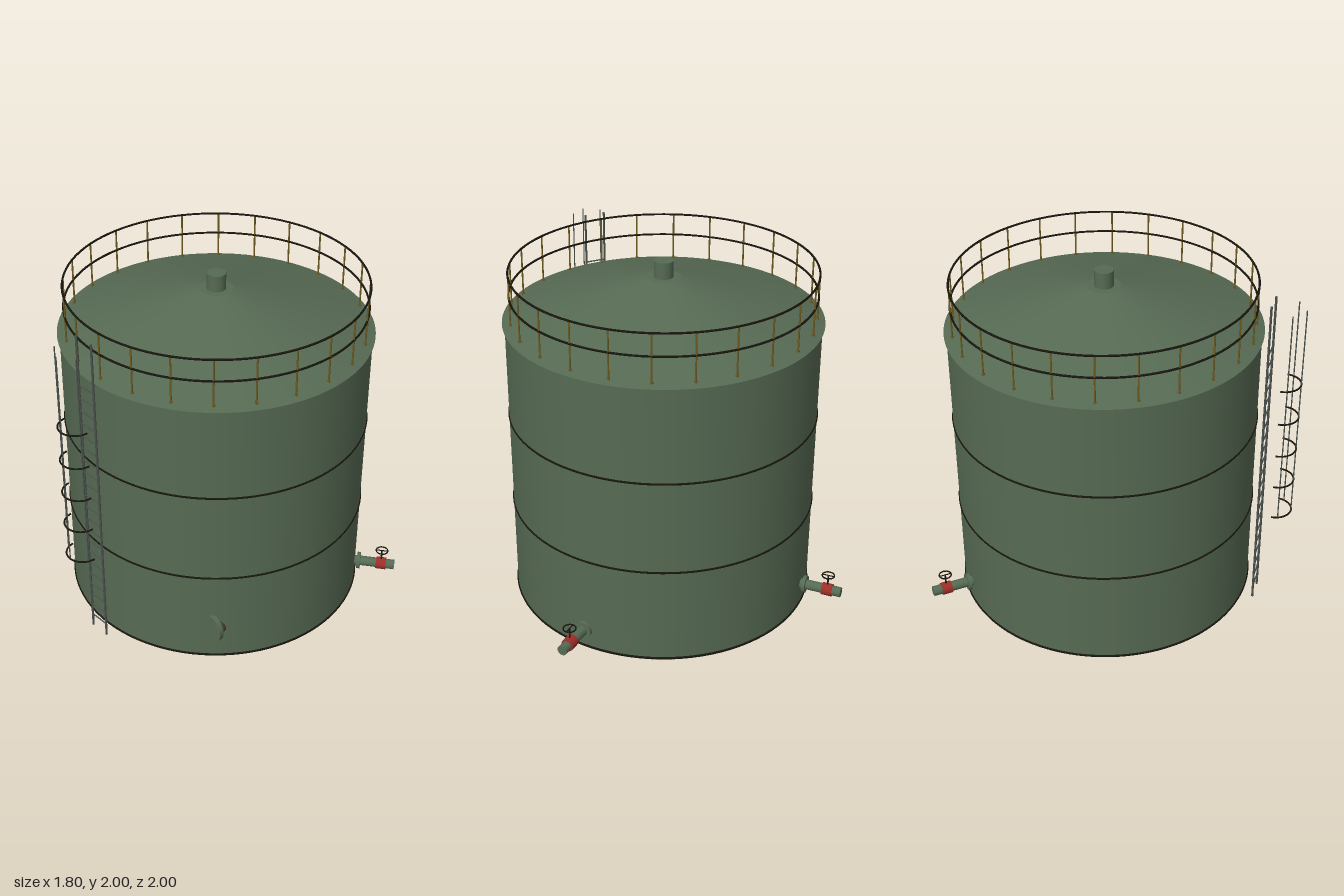
import * as THREE from 'three';

const mat = (name, color) => new THREE.MeshStandardMaterial({ name, color });

export function createModel() {
  const green = mat('tank green', 0x566a53);
  const black = mat('dark trim', 0x17150d);
  const ochre = mat('ochre posts', 0x6e5a1f);
  const steel = mat('ladder steel', 0x4b524e);
  const red = mat('valve red', 0x9c2f28);
  const brown = mat('manway brown', 0x4a4028);

  const model = new THREE.Group();
  model.name = 'storageTank';

  const add = (parent, name, geo, material, x = 0, y = 0, z = 0) => {
    const mesh = new THREE.Mesh(geo, material);
    mesh.name = name;
    mesh.position.set(x, y, z);
    parent.add(mesh);
    return mesh;
  };
  // Upright cylinder between two heights
  const post = (parent, name, r, y0, y1, material, x = 0, z = 0, sides = 8) =>
    add(parent, name, new THREE.CylinderGeometry(r, r, y1 - y0, sides), material, x, (y0 + y1) / 2, z);
  // Cylinder lying along local x
  const pipe = (parent, name, r, x0, x1, material, y = 0) => {
    const mesh = add(parent, name, new THREE.CylinderGeometry(r, r, x1 - x0, 24), material, (x0 + x1) / 2, y, 0);
    mesh.rotation.z = -Math.PI / 2;
    return mesh;
  };
  // Horizontal ring, or part of one bulging to +z
  const ring = (parent, name, r, tube, material, x, y, z, arc = Math.PI * 2, segs = 96) => {
    const mesh = add(parent, name, new THREE.TorusGeometry(r, tube, 8, segs, arc), material, x, y, z);
    mesh.rotation.x = Math.PI / 2;
    return mesh;
  };

  // Shell, roof and vent share one axis
  const tank = new THREE.Group();
  tank.name = 'tank';
  tank.position.set(-0.026, 0, -0.118);
  model.add(tank);
  post(tank, 'shell', 0.866, 0, 1.672, green, 0, 0, 96);
  add(tank, 'roof', new THREE.CylinderGeometry(0.095, 0.88, 0.235, 96), green, 0, 1.7885, 0);
  post(tank, 'roofVent', 0.053, 1.89, 2, green, 0, 0, 32);
  ring(tank, 'baseBand', 0.866, 0.007, black, 0, 0.01, 0);
  for (const y of [0.575, 1.122]) ring(tank, 'shellBand', 0.866, 0.006, black, 0, y, 0);

  // Guard rail around the roof
  const railR = 0.836;
  for (const y of [1.83, 1.955]) ring(tank, 'guardRail', railR, 0.006, black, 0, y, 0);
  for (let i = 0; i < 24; i++) {
    const a = (i / 24) * Math.PI * 2;
    const x = railR * Math.cos(a), z = railR * Math.sin(a);
    post(tank, 'railPost', 0.005, 1.675, 1.955, ochre, x, z);
    post(tank, 'railPostFoot', 0.009, 1.68, 1.692, ochre, x, z);
  }

  // Outlet pipes with flange, valve and handwheel
  for (const degrees of [34.8, 131.7]) {
    const outlet = new THREE.Group();
    outlet.name = 'outlet';
    outlet.position.y = 0.135;
    outlet.rotation.y = THREE.MathUtils.degToRad(degrees);
    tank.add(outlet);
    pipe(outlet, 'outletPipe', 0.029, 0.84, 1.105, green);
    pipe(outlet, 'outletFlange', 0.05, 0.88, 0.9, green);
    pipe(outlet, 'valveBody', 0.036, 0.995, 1.055, red);
    post(outlet, 'valveStem', 0.005, 0, 0.096, black, 1.025);
    ring(outlet, 'handwheel', 0.035, 0.004, black, 1.025, 0.096, 0, Math.PI * 2, 24);
    add(outlet, 'handwheelSpoke', new THREE.BoxGeometry(0.07, 0.004, 0.005), black, 1.025, 0.096, 0);
  }

  // Manway, partly sunk into the shell
  const neck = add(model, 'manwayNeck', new THREE.CylinderGeometry(0.068, 0.068, 0.1, 32), brown, 0.57, 0.213, 0.435);
  const cover = add(model, 'manwayCover', new THREE.CylinderGeometry(0.093, 0.093, 0.028, 40), green, 0.57, 0.213, 0.494);
  neck.rotation.x = cover.rotation.x = Math.PI / 2;

  // Ladder
  const ladder = new THREE.Group();
  ladder.name = 'ladder';
  ladder.position.set(-0.026, 0, 0.815);
  model.add(ladder);
  for (const side of [-1, 1]) post(ladder, 'ladderRail', 0.0065, 0, 1.955, steel, side * 0.059, 0);
  for (let i = 0; i < 21; i++) {
    pipe(ladder, 'ladderRung', 0.004, -0.059, 0.059, steel, 0.082 + i * 0.0789);
  }

  // Safety cage: half hoops joined by three upright bars
  const cage = new THREE.Group();
  cage.name = 'safetyCage';
  cage.position.set(-0.026, 0, 0.899);
  model.add(cage);
  const cageR = 0.094;
  for (let i = 0; i < 5; i++) ring(cage, 'cageHoop', cageR, 0.005, black, 0, 0.634 + i * 0.2098, 0, Math.PI, 32);
  for (const degrees of [22.5, 90, 157.5]) {
    const a = THREE.MathUtils.degToRad(degrees);
    post(cage, 'cageBar', 0.0035, 0.634, 1.93, steel, cageR * Math.cos(a), cageR * Math.sin(a));
  }

  return model;
}
